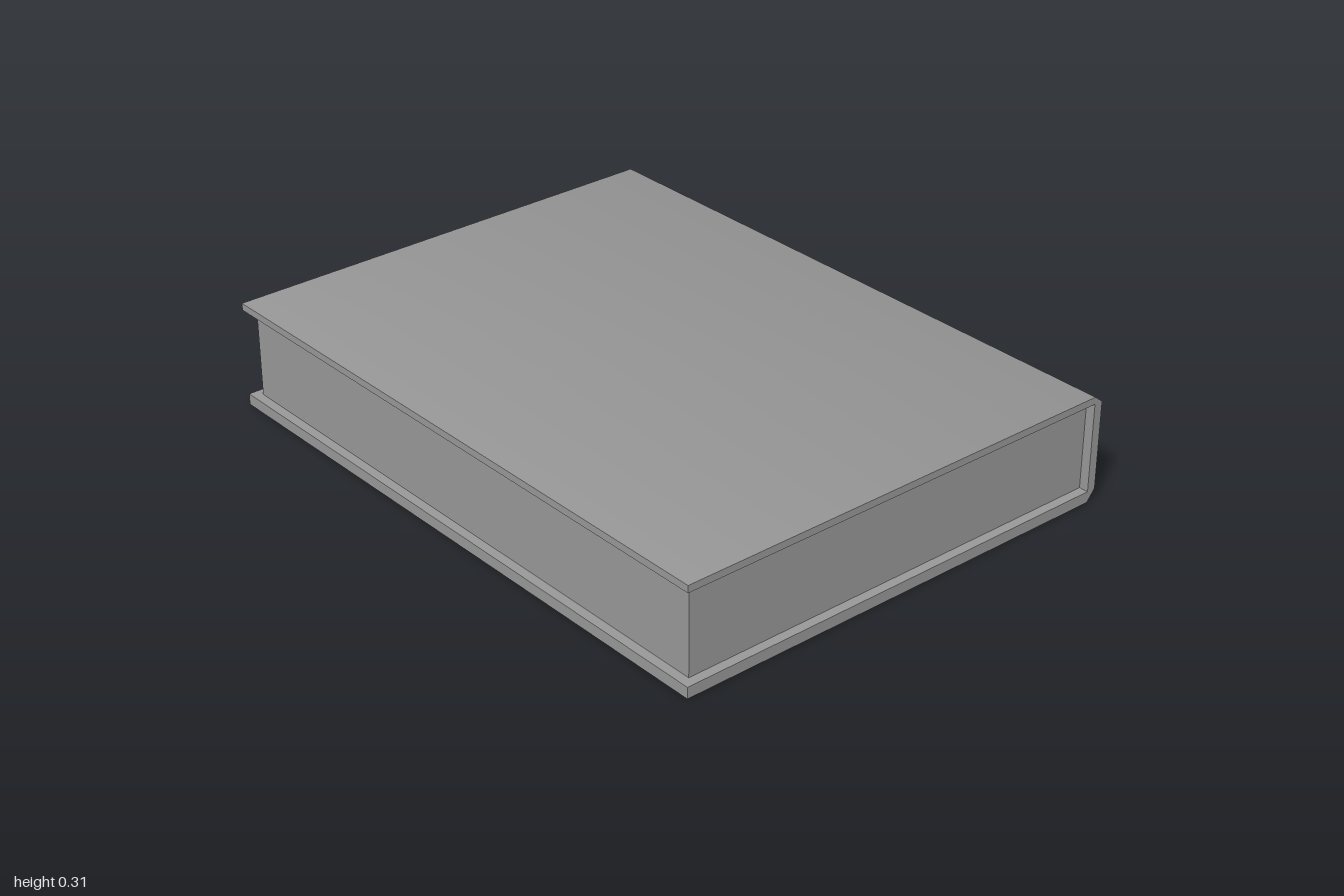
import * as THREE from 'three';

const WIDTH = 1.407, LENGTH = 1.865, HEIGHT = 0.315;
const TOP = 0.021, BOTTOM = 0.033, SPINE = 0.027; // board thicknesses
const INSET = 0.028;
const TILT = 0.27; // lean of the normals along the bevelled spine edges

export function createModel() {
  const book = new THREE.Group();
  book.name = 'book';
  const material = new THREE.MeshStandardMaterial({ color: 0x999999 });
  const r = WIDTH / 2, inner = r - SPINE, lid = HEIGHT - TOP;

  // Cover: C-shaped section with a bevelled spine, open at the fore edge
  const section = new THREE.Shape([
    [-r, 0], [inner, 0], [r, BOTTOM], [r, lid], [inner, HEIGHT], [-r, HEIGHT],
    [-r, lid], [inner, lid], [inner, BOTTOM], [-r, BOTTOM],
  ].map(([x, y]) => new THREE.Vector2(x, y)));
  const coverGeometry = new THREE.ExtrudeGeometry(section, { depth: LENGTH, bevelEnabled: false });
  coverGeometry.translate(0, 0, -LENGTH / 2);

  // Smooth shading around the spine bevels; the end faces stay flat
  const { position, normal } = coverGeometry.attributes;
  for (let i = 0; i < position.count; i++) {
    if (Math.abs(normal.getZ(i)) > 0.5) continue;
    const x = position.getX(i), y = position.getY(i);
    const side = y > HEIGHT / 2 ? 1 : -1;
    const onFace = y < 0.001 || y > HEIGHT - 0.001;
    if (x > r - 0.001) normal.setXYZ(i, Math.cos(TILT), side * Math.sin(TILT), 0);
    else if (onFace && x > 0) normal.setXYZ(i, Math.sin(TILT), side * Math.cos(TILT), 0);
  }
  const cover = new THREE.Mesh(coverGeometry, material);
  cover.name = 'cover';

  // Page block: set back from the fore edge and both ends
  const pageWidth = WIDTH - INSET - SPINE;
  const pages = new THREE.Mesh(
    new THREE.BoxGeometry(pageWidth, lid - BOTTOM, LENGTH - 2 * INSET), material);
  pages.position.set(inner - pageWidth / 2, (lid + BOTTOM) / 2, 0);
  pages.name = 'pages';

  // The book lies slightly turned
  book.add(cover, pages);
  book.rotation.y = -0.103;
  return book;
}
